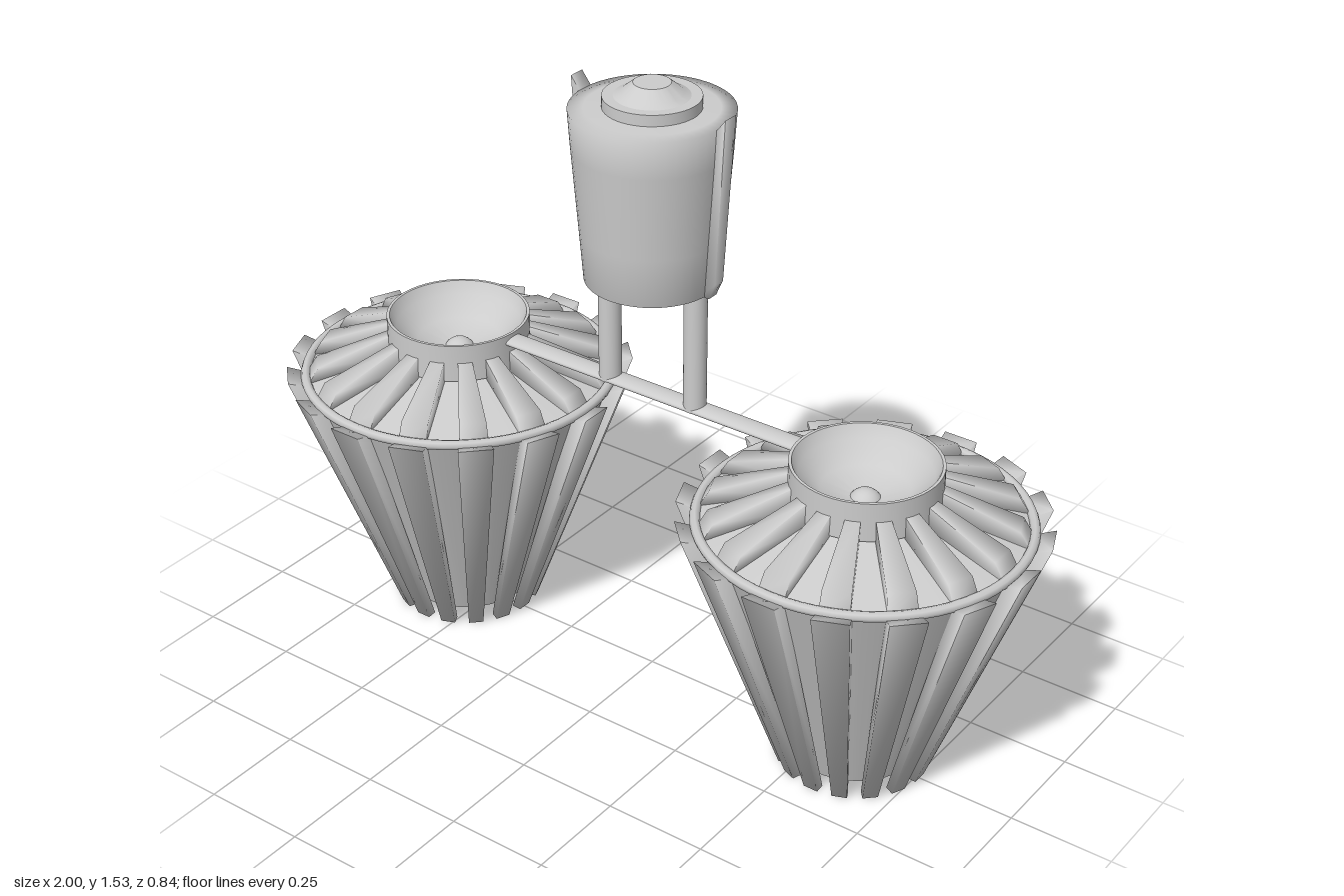
import * as THREE from 'three';
import { toCreasedNormals, mergeGeometries } from 'three/addons/utils/BufferGeometryUtils.js';

const grey = new THREE.MeshStandardMaterial({ color: 0xcccccc, side: THREE.DoubleSide });
grey.name = 'plain grey';

function add(parent, name, geometry, x = 0, y = 0, z = 0) {
  const mesh = new THREE.Mesh(geometry, grey);
  mesh.name = name;
  mesh.position.set(x, y, z);
  parent.add(mesh);
  return mesh;
}

// Smooth turned part from [radius, height] pairs
function smoothTurned(points) {
  return new THREE.LatheGeometry(points.map(([r, y]) => new THREE.Vector2(r, y)), 48);
}

// Turned part with sharp corners kept
function turned(points) {
  return toCreasedNormals(smoothTurned(points), 0.6);
}

// Softly shaded blade: counterclockwise outline of [radius, height, half width]
function blade(outline) {
  const pos = [];
  const n = outline.length;
  const v = (i, s) => [outline[i][0], outline[i][1], s * outline[i][2]];
  const tri = (a, b, c) => pos.push(...a, ...b, ...c);
  for (let i = 1; i < n - 1; i++) {
    tri(v(0, 1), v(i, 1), v(i + 1, 1));
    tri(v(0, -1), v(i + 1, -1), v(i, -1));
  }
  for (let i = 0; i < n; i++) {
    const j = (i + 1) % n;
    tri(v(i, 1), v(i, -1), v(j, -1));
    tri(v(i, 1), v(j, -1), v(j, 1));
  }
  const geometry = new THREE.BufferGeometry();
  geometry.setAttribute('position', new THREE.Float32BufferAttribute(pos, 3));
  return toCreasedNormals(geometry, 1.75);
}

// Copies of a blade around the vertical axis
function around(geometry, count) {
  const copies = [];
  for (let i = 0; i < count; i++) copies.push(geometry.clone().rotateY((i / count) * Math.PI * 2));
  return mergeGeometries(copies);
}

function createShade(name) {
  const shade = new THREE.Group();
  shade.name = name;

  // Open conical wall with its ring at the top
  add(shade, 'shadeWall', turned([[0.155, 0.03], [0.378, 0.635]]));
  const ring = new THREE.TorusGeometry(0.374, 0.012, 8, 64).rotateX(Math.PI / 2);
  add(shade, 'shadeRing', ring, 0, 0.637, 0);

  // Outer ribs ending in teeth below and tabs above
  add(shade, 'shadeRibs', around(blade([
    [0.155, 0, 0.016], [0.18, 0, 0.018], [0.418, 0.645, 0.042], [0.37, 0.63, 0.038],
  ]), 16));

  // Roof under the spokes
  add(shade, 'roof', turned([[0.374, 0.635], [0.15, 0.69]]));

  // Sloping spokes from the cup to the ring
  add(shade, 'roofSpokes', around(blade([
    [0.15, 0.685, 0.014], [0.37, 0.632, 0.034], [0.345, 0.675, 0.032], [0.155, 0.745, 0.016],
  ]), 16));

  // Cup with a shallow bowl and a small knob in it
  add(shade, 'cup', turned([
    [0, 0.67], [0.09, 0.685], [0.172, 0.69], [0.172, 0.785], [0.165, 0.785],
    [0.15, 0.755], [0.1, 0.715], [0.04, 0.697], [0, 0.695],
  ]));
  add(shade, 'cupKnob', new THREE.SphereGeometry(0.04, 24, 12), 0, 0.675, 0);
  return shade;
}

export function createModel() {
  const model = new THREE.Group();
  model.name = 'doubleShadeLamp';

  for (const side of [1, -1]) {
    const shade = createShade(side > 0 ? 'leftShade' : 'rightShade');
    shade.position.x = side * 0.58;
    shade.rotation.y = side > 0 ? 0 : Math.PI;
    model.add(shade);

    // Post carrying the body
    add(model, side > 0 ? 'leftPost' : 'rightPost',
      new THREE.CylinderGeometry(0.027, 0.027, 0.37, 24), side * 0.12, 0.945, 0);

    // Side fin with a raised tip
    const fin = add(model, side > 0 ? 'leftFin' : 'rightFin', blade([
      [0.14, 1.06, 0.014], [0.165, 1.06, 0.014], [0.182, 1.1, 0.015],
      [0.206, 1.5, 0.02], [0.175, 1.46, 0.02],
    ]));
    fin.rotation.y = side > 0 ? 0 : Math.PI;
  }

  // Flattened round arm between the shades
  const arm = new THREE.CylinderGeometry(0.027, 0.027, 0.84, 24).rotateZ(Math.PI / 2).scale(1, 0.4, 1);
  add(model, 'crossArm', arm, 0, 0.764, 0);

  // Tapered body with a softened base and a nearly flat top
  add(model, 'body', smoothTurned([
    [0, 1.06], [0.13, 1.06], [0.154, 1.062], [0.163, 1.18], [0.179, 1.38],
    [0.185, 1.47], [0.15, 1.472], [0.1, 1.474],
  ]));
  add(model, 'topCollar', turned([[0.11, 1.46], [0.11, 1.5], [0, 1.5]]));
  add(model, 'topCap', turned([[0.085, 1.5], [0.07, 1.507], [0.042, 1.53], [0, 1.53]]));
  add(model, 'bottomCap', turned([[0, 1.035], [0.045, 1.035], [0.085, 1.06], [0.085, 1.07]]));
  return model;
}
